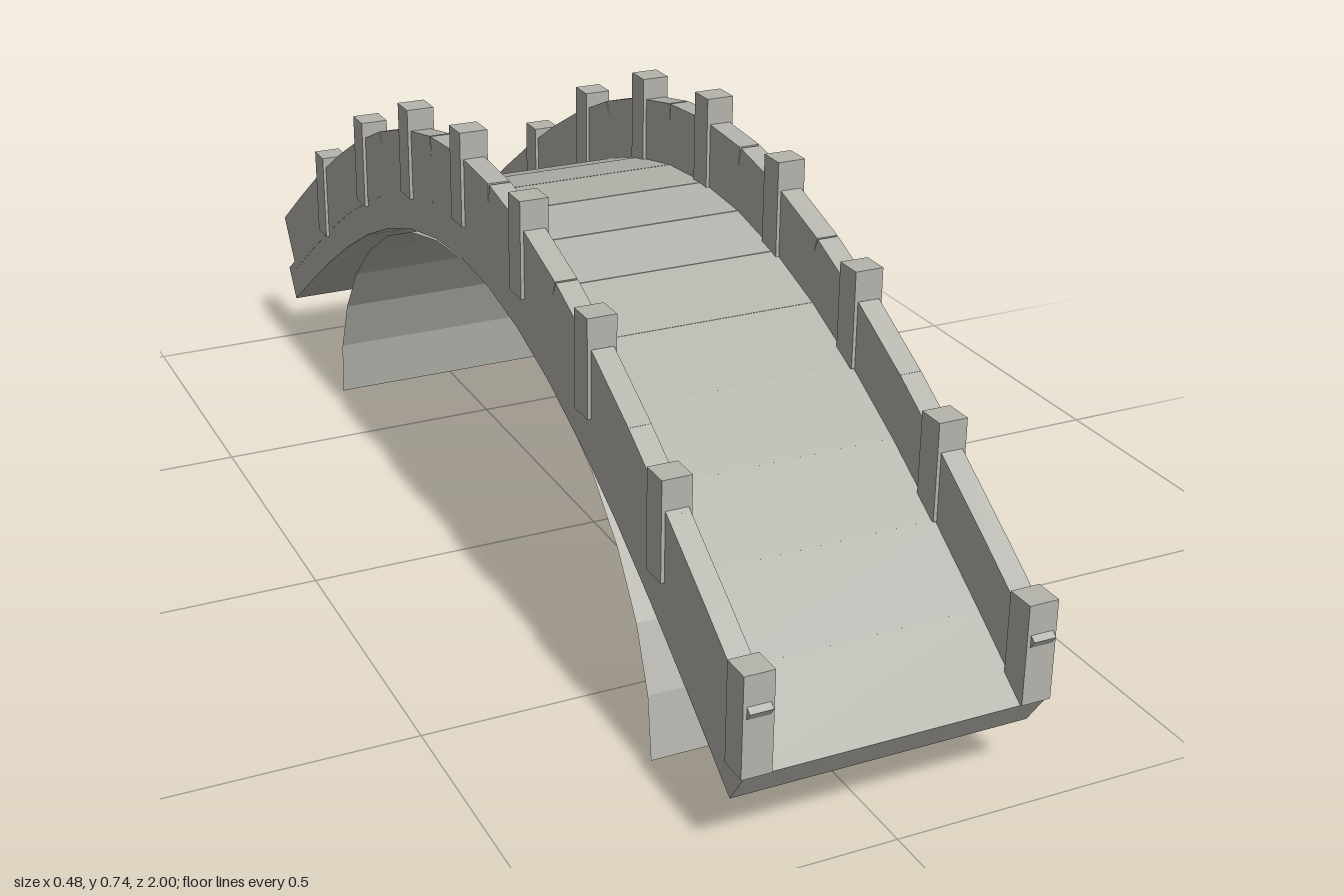
import * as THREE from 'three';

const END = 0.968, SEGMENTS = 16, STEP = (2 * END) / SEGMENTS;
const DECK_HALF = 0.232, RAIL_X = 0.215;

// Height of the deck's centre line along the bridge
const arc = (z) => 0.128 + 0.43 * Math.cos((Math.PI / 2) * (z / END));

export function createModel() {
  const stone = new THREE.MeshStandardMaterial({ color: 0xb4b3ac });
  stone.name = 'stone';
  const vaultStone = stone.clone();
  vaultStone.name = 'vaultStone';
  vaultStone.side = THREE.DoubleSide;

  const bridge = new THREE.Group();
  bridge.name = 'archedBridge';

  const box = (name, parent, w, h, d, x, y, z, tilt = 0) => {
    const mesh = new THREE.Mesh(new THREE.BoxGeometry(w, h, d), stone);
    mesh.name = name;
    mesh.position.set(x, y, z);
    mesh.rotation.x = tilt;
    parent.add(mesh);
  };

  // A chain of straight slabs that follows the arc, raised by lift
  const slabs = (name, width, height, x, lift) => {
    const chain = new THREE.Group();
    chain.name = name;
    for (let i = 0; i < SEGMENTS; i++) {
      const z0 = -END + i * STEP, z1 = z0 + STEP;
      const y0 = arc(z0), y1 = arc(z1);
      const length = Math.hypot(STEP, y1 - y0) * 1.02;
      box(name + 'Slab', chain, width, height, length,
        x, (y0 + y1) / 2 + lift, (z0 + z1) / 2, -Math.atan2(y1 - y0, STEP));
    }
    bridge.add(chain);
  };

  slabs('deck', DECK_HALF * 2, 0.065, 0, 0);

  // Parapets and posts; the back end carries no post
  for (const [side, s] of [['left', 1], ['right', -1]]) {
    slabs(side + 'Parapet', 0.035, 0.108, s * RAIL_X, 0.086);
    const posts = new THREE.Group();
    posts.name = side + 'Posts';
    for (let i = -3; i <= 4; i++) {
      const z = i * 2 * STEP;
      box('post', posts, 0.046, 0.155, 0.046, s * RAIL_X, arc(z) + 0.1045, z);
    }
    bridge.add(posts);
  }

  // Thin half-elliptical vault under the deck, with faceted strips
  const vaultGeometry = new THREE.CylinderGeometry(1, 1, 0.446, 16, 1, true, 0, Math.PI)
    .rotateZ(Math.PI / 2)
    .scale(1, 0.515, 0.695)
    .toNonIndexed();
  vaultGeometry.computeVertexNormals();
  const vault = new THREE.Mesh(vaultGeometry, vaultStone);
  vault.name = 'vault';
  bridge.add(vault);

  return bridge;
}
